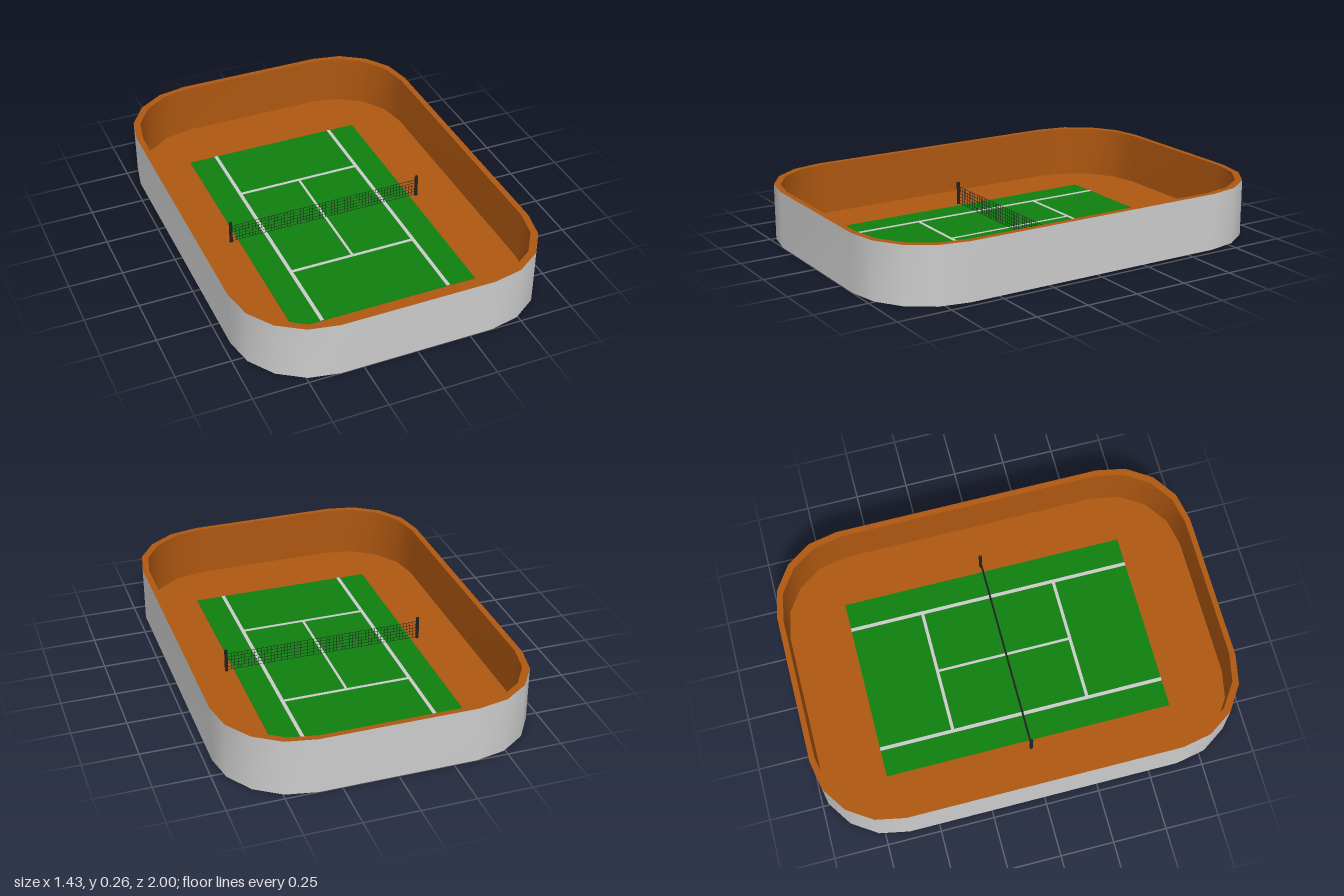
import * as THREE from 'three';

const FLOOR = 0.02, TOP = 0.265;
const OUTER = [1, 1], INNER = [0.96, 0.974], CENTRE = [0, 0];

const paint = (color) => new THREE.MeshStandardMaterial({ color });
const grey = paint(0xcccccc);
const clay = paint(0xae5710);
const green = paint(0x0f8010);
const dark = paint(0x222222);

// Rounded rectangle with four facets per corner, scaled in x and z
function ring([sx, sz], y) {
  const points = [];
  for (let corner = 0; corner < 4; corner++) {
    const cx = corner === 0 || corner === 3 ? 0.355 : -0.355;
    const cz = corner < 2 ? 0.64 : -0.64;
    for (let i = 0; i <= 4; i++) {
      const a = (corner + i / 4) * Math.PI / 2;
      points.push([(cx + 0.36 * Math.cos(a)) * sx, y, (cz + 0.36 * Math.sin(a)) * sz]);
    }
  }
  return points;
}

// Closed band of faces between two rings
function band(name, material, from, to) {
  const n = from.length, index = [];
  for (let i = 0; i < n; i++) {
    const j = (i + 1) % n;
    index.push(i, n + i, j, j, n + i, n + j);
  }
  const geometry = new THREE.BufferGeometry();
  geometry.setAttribute('position', new THREE.Float32BufferAttribute([...from, ...to].flat(), 3));
  geometry.setIndex(index);
  geometry.computeVertexNormals();
  const mesh = new THREE.Mesh(geometry, material);
  mesh.name = name;
  return mesh;
}

function box(name, material, w, h, d, x, y, z) {
  const mesh = new THREE.Mesh(new THREE.BoxGeometry(w, h, d), material);
  mesh.position.set(x, y, z);
  mesh.name = name;
  return mesh;
}

export function createModel() {
  const model = new THREE.Group();
  model.name = 'tennisCourt';

  // Surrounding wall, floor and underside
  model.add(
    band('outerWall', grey, ring(OUTER, 0), ring(OUTER, TOP)),
    band('wallRim', clay, ring(OUTER, TOP), ring(INNER, TOP)),
    band('innerWall', clay, ring(INNER, TOP), ring(INNER, FLOOR)),
    band('clayFloor', clay, ring(INNER, FLOOR), ring(CENTRE, FLOOR)),
    band('underside', clay, ring(CENTRE, 0), ring(OUTER, 0)),
  );

  // Playing surface
  model.add(box('courtSurface', green, 0.88, 0.004, 1.366, 0, FLOOR + 0.001, 0));

  // Court markings
  const lines = new THREE.Group();
  lines.name = 'courtLines';
  const lineY = FLOOR + 0.004;
  for (const side of [-1, 1]) {
    lines.add(box('sideLine', grey, 0.017, 0.002, 1.366, side * 0.306, lineY, 0));
    lines.add(box('serviceLine', grey, 0.6, 0.002, 0.015, 0, lineY, side * 0.326 - 0.007));
  }
  lines.add(box('centreLine', grey, 0.012, 0.002, 0.64, 0, lineY, -0.007));
  model.add(lines);

  // Net posts
  for (const side of [-1, 1]) {
    const post = new THREE.Mesh(new THREE.CylinderGeometry(0.008, 0.008, 0.11, 12), dark);
    post.position.set(side * 0.475, FLOOR + 0.055, 0);
    post.name = 'netPost';
    model.add(post);
  }

  // Net of fine strings
  const net = new THREE.Group();
  net.name = 'net';
  const t = 0.0014, netHeight = 0.085, columns = 56, rows = 5;
  for (let i = 0; i <= columns; i++) {
    const x = -0.45 + 0.9 * i / columns;
    net.add(box('netUpright', dark, t, netHeight, t, x, FLOOR + 0.005 + netHeight / 2, 0));
  }
  for (let i = 0; i <= rows; i++) {
    net.add(box('netString', dark, 0.95, t, t, 0, FLOOR + 0.005 + netHeight * i / rows, 0));
  }
  model.add(net);

  return model;
}
